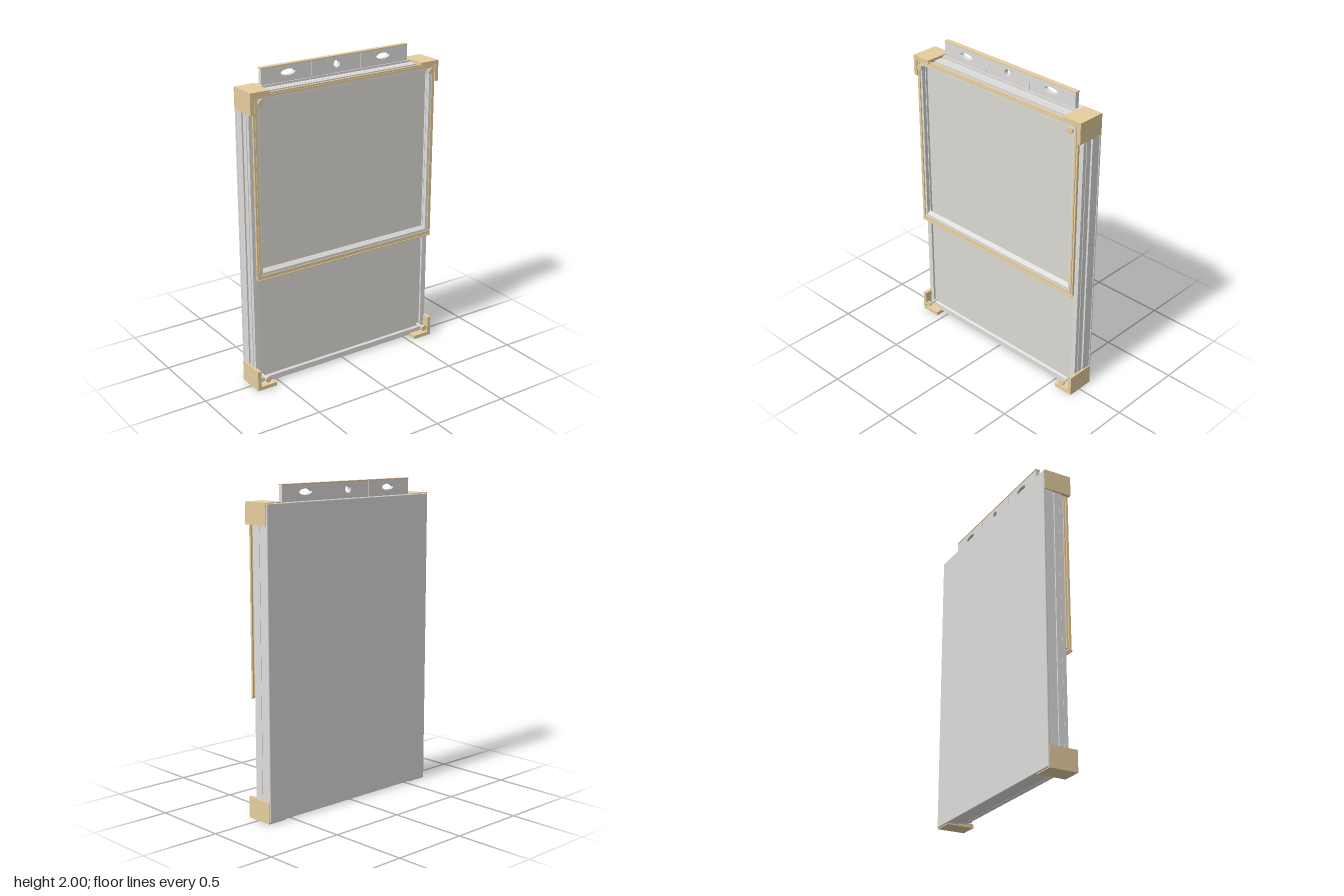
import * as THREE from 'three';
import { RoundedBoxGeometry } from 'three/addons/geometries/RoundedBoxGeometry.js';

const mat = (name, color) => {
  const m = new THREE.MeshStandardMaterial({ color });
  m.name = name;
  return m;
};

export function createModel() {
  const root = new THREE.Group();
  const tan = mat('tan', 0xe5cd9e);
  const grey = mat('metal grey', 0xdedddc);
  const panelGrey = mat('panel grey', 0xdbd9d3);

  const add = (name, geo, material) => {
    const m = new THREE.Mesh(geo, material);
    m.name = name;
    root.add(m);
    return m;
  };
  // Box given by its limits on each axis
  const box = (name, x0, x1, y0, y1, z0, z1, material) => {
    const m = add(name, new THREE.BoxGeometry(x1 - x0, y1 - y0, z1 - z0), material);
    m.position.set((x0 + x1) / 2, (y0 + y1) / 2, (z0 + z1) / 2);
    return m;
  };
  const rect = (S, x0, x1, y0, y1) => {
    const s = new S();
    s.moveTo(x0, y0).lineTo(x1, y0).lineTo(x1, y1).lineTo(x0, y1).closePath();
    return s;
  };
  const extrude = (name, shape, z0, z1, material) => {
    const m = add(name, new THREE.ExtrudeGeometry(shape,
      { depth: z1 - z0, bevelEnabled: false, curveSegments: 12 }), material);
    m.position.z = z0;
    return m;
  };
  // Rectangular rim of even width
  const rim = (name, hx, y0, y1, w, z0, z1, material) => {
    const s = rect(THREE.Shape, -hx, hx, y0, y1);
    s.holes.push(rect(THREE.Path, -hx + w, hx - w, y0 + w, y1 - w));
    return extrude(name, s, z0, z1, material);
  };
  // Sloped ledge: a wedge running along x, high at the back and low in front
  const ledge = (name, hx, y, height, z0, z1) => {
    const s = new THREE.Shape();
    s.moveTo(-z0, y).lineTo(-z0, y + height).lineTo(-z1, y).closePath();
    const m = add(name, new THREE.ExtrudeGeometry(s, { depth: hx * 2, bevelEnabled: false }), grey);
    m.rotation.y = Math.PI / 2;
    m.position.x = -hx;
  };

  // Rear pan: back sheet with softened edges and a folded rim
  const back = add('backSheet', new RoundedBoxGeometry(1.342, 1.892, 0.014, 3, 0.006), grey);
  back.position.set(0, 0.952, -0.099);
  rim('backPanEdge', 0.667, 0.01, 1.896, 0.03, -0.098, -0.035, grey);
  box('spacer', -0.645, 0.645, 0.025, 1.882, -0.095, 0.005, grey);

  // Main frame with grooves around its sides and a recessed panel
  rim('rearFrame', 0.662, 0.016, 1.886, 0.037, -0.026, 0.008, grey);
  rim('frontFrame', 0.66, 0.016, 1.886, 0.035, 0.01, 0.034, grey);
  box('mainPanel', -0.626, 0.626, 0.05, 1.852, 0.004, 0.02, panelGrey);
  ledge('bottomLedge', 0.625, 0.05, 0.008, 0.02, 0.034);

  // Raised open frame over the upper part
  rim('coverOuterFrame', 0.653, 0.742, 1.888, 0.014, 0.062, 0.076, tan);
  rim('coverInnerFrame', 0.642, 0.755, 1.877, 0.012, 0.052, 0.08, tan);
  rim('coverLip', 0.63, 0.767, 1.865, 0.016, 0.05, 0.074, grey);
  ledge('coverLowerLedge', 0.614, 0.783, 0.02, 0.052, 0.072);
  box('coverBottomHook', -0.653, 0.653, 0.736, 0.743, 0.072, 0.082, tan);

  // L-shaped corner guards and fixing knobs
  const L = 0.132, w = 0.024;
  for (const sx of [-1, 1]) {
    for (const top of [false, true]) {
      const X = v => sx * (0.675 - v);
      const Y = v => (top ? 1.902 - v : v);
      const pts = [[0, 0], [L, 0], [L, w], [w, w], [w, L], [0, L]]
        .map(([a, b]) => new THREE.Vector2(X(a), Y(b)));
      extrude('cornerGuard', new THREE.Shape(pts), -0.098, 0.084, tan);
      const y = top ? 1.843 : 0.07;
      const knob = (name, r, z0, z1, material) => {
        const m = add(name, new THREE.CylinderGeometry(r, r, z1 - z0, 20), material);
        m.rotation.x = Math.PI / 2;
        m.position.set(sx * 0.61, y, (z0 + z1) / 2);
      };
      knob('knobPost', 0.008, 0.01, 0.086, grey);
      knob('knobCollar', 0.013, 0.08, 0.09, tan);
      knob('knobHead', 0.019, 0.088, 0.102, tan);
    }
  }

  // Hanging bracket in three sections, slotted outside and drilled in the middle
  const sections = [
    [-0.525, -0.1765, -0.342, 0.05, 0.019],
    [-0.1765, 0.1765, 0, 0.023, 0.023],
    [0.1765, 0.525, 0.342, 0.05, 0.019],
  ];
  for (const [x0, x1, cx, rx, ry] of sections) {
    const s = rect(THREE.Shape, x0, x1, 1.875, 1.996);
    const hole = new THREE.Path();
    hole.absellipse(cx, 1.95, rx, ry, 0, Math.PI * 2, true);
    s.holes.push(hole);
    extrude('hangingBracket', s, -0.07, -0.042, grey);
  }
  // Thin raised seams on both faces where the sections meet
  for (const x of [-0.1765, 0.1765]) {
    box('bracketSeam', x - 0.003, x + 0.003, 1.9, 1.994, -0.072, -0.04, grey);
  }
  box('bracketCap', -0.528, 0.528, 1.994, 2, -0.073, -0.04, tan);

  return root;
}
